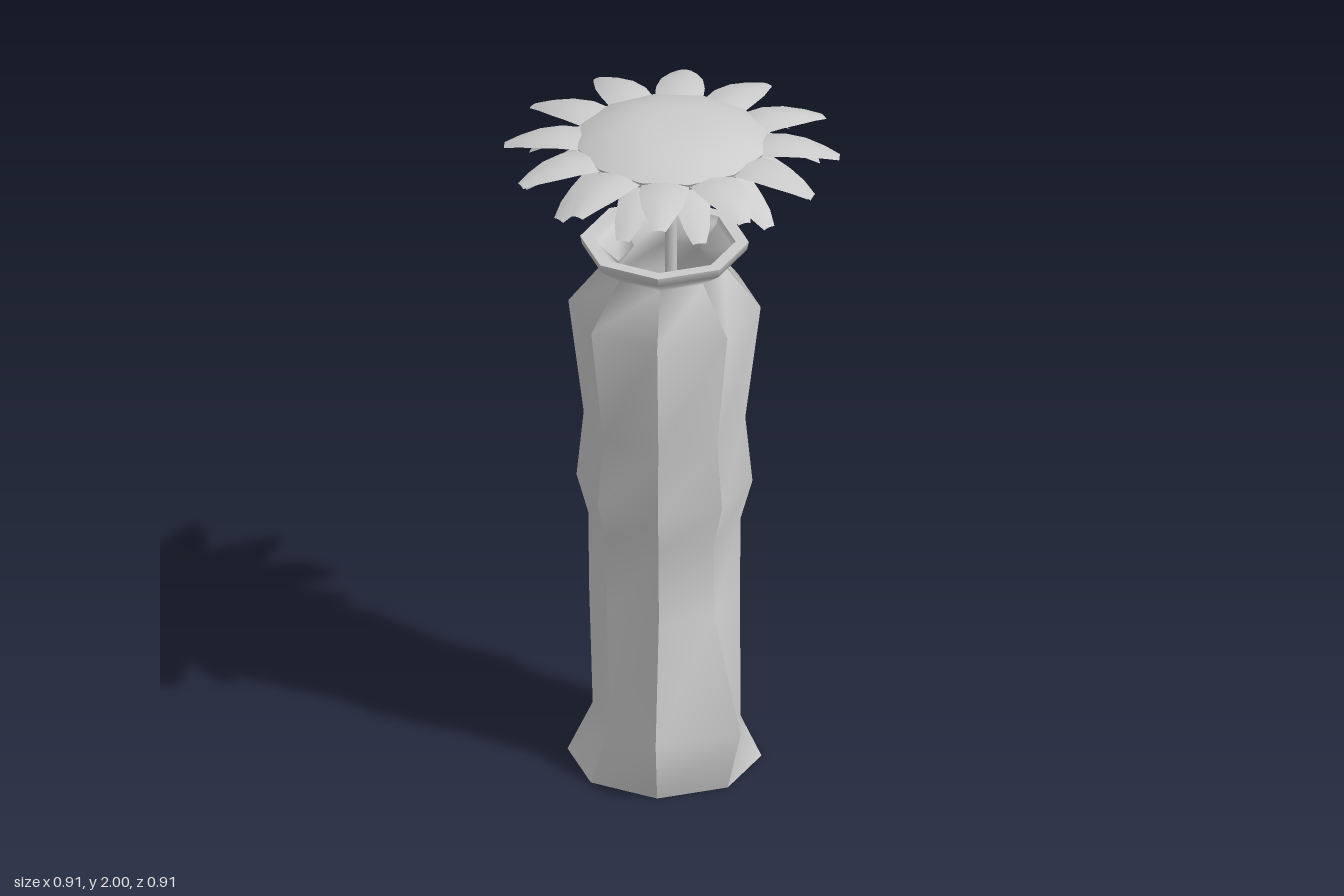
import * as THREE from 'three';

const grey = new THREE.MeshStandardMaterial({ color: 0xcccccc, side: THREE.DoubleSide });

function part(name, geometry) {
  const mesh = new THREE.Mesh(geometry, grey);
  mesh.name = name;
  return mesh;
}

// Indexed surface over a grid of points; faces look along (row direction) x (column direction)
function gridSurface(rows) {
  const cols = rows[0].length, index = [];
  for (let i = 0; i < rows.length - 1; i++) {
    for (let j = 0; j < cols - 1; j++) {
      const a = i * cols + j, b = a + cols;
      index.push(a, b, a + 1, a + 1, b, b + 1);
    }
  }
  const g = new THREE.BufferGeometry();
  g.setAttribute('position', new THREE.Float32BufferAttribute(rows.flat(2), 3));
  g.setIndex(index);
  g.computeVertexNormals();
  return g;
}

// Eight-sided vase shell: each facet is smooth up its length, sharp against its neighbours
const SIDES = 8;
function octagonShell(name, profile) {
  const group = new THREE.Group();
  group.name = name;
  const point = ([r, y, dent], k) => {
    // the facet at the front left bulges near the foot
    if (dent && k % SIDES < 2) [r, y] = dent;
    const a = (k / SIDES) * Math.PI * 2;
    return [r * Math.cos(a), y, r * Math.sin(a)];
  };
  for (let k = 0; k < SIDES; k++) {
    group.add(part(name + 'Facet', gridSurface(profile.map((p) => [point(p, k), point(p, k + 1)]))));
  }
  return group;
}

function createVase() {
  const vase = new THREE.Group();
  vase.name = 'vase';
  vase.add(
    octagonShell('vaseBase', [[0.001, 0], [0.27, 0]]),
    octagonShell('vaseBody', [
      [0.27, 0], [0.2, 0.15, [0.325, 0.19]], [0.21, 0.52], [0.212, 0.75], [0.245, 0.87],
      [0.225, 1.07], [0.268, 1.42], [0.165, 1.55], [0.23, 1.6], [0.235, 1.625],
    ]),
    octagonShell('vaseLip', [[0.235, 1.625], [0.198, 1.625]]),
    octagonShell('vaseInside', [
      [0.198, 1.625], [0.19, 1.605], [0.13, 1.55], [0.232, 1.41], [0.19, 1.07],
      [0.21, 0.87], [0.178, 0.75], [0.175, 0.52], [0.165, 0.1],
    ]),
    octagonShell('vaseFloor', [[0.165, 0.1], [0.001, 0.1]]),
  );
  vase.position.set(-0.018, 0, 0.012);
  return vase;
}

// Petal running outward along +z; stations are [radius, half width, height]
function petalGeometry(stations, crown) {
  const rows = stations.map(([r, w, y]) =>
    [-1, -0.5, 0, 0.5, 1].map((t) => [t * w, y + crown * (1 - t * t) * (w / 0.067), r]));
  return gridSurface(rows);
}

function petalRing(name, geometry, count, offset) {
  const ring = new THREE.Group();
  ring.name = name;
  for (let i = 0; i < count; i++) {
    const petal = part('petal', geometry);
    petal.rotation.y = ((i + offset) / count) * Math.PI * 2;
    ring.add(petal);
  }
  return ring;
}

function createFlower() {
  const flower = new THREE.Group();
  flower.name = 'flower';
  const lathe = (pts) => new THREE.LatheGeometry(pts.map((p) => new THREE.Vector2(...p)), 12);

  // domed seed head above, shallow bowl below
  flower.add(part('seedHead', lathe([
    [0.267, 1.943], [0.235, 1.96], [0.18, 1.982], [0.12, 1.995], [0.06, 1.999], [0, 2],
  ])));
  flower.add(part('flowerCup', lathe([
    [0, 1.83], [0.03, 1.825], [0.06, 1.808], [0.11, 1.803], [0.17, 1.825], [0.22, 1.86],
    [0.25, 1.9], [0.267, 1.943],
  ])));

  // wide upper petals between narrower drooping lower ones
  flower.add(petalRing('upperPetals', petalGeometry([
    [0.2, 0.048, 1.925], [0.25, 0.067, 1.934], [0.31, 0.068, 1.938],
    [0.37, 0.058, 1.932], [0.425, 0.037, 1.92], [0.467, 0.018, 1.906],
  ], 0.012), 12, 0.5));
  flower.add(petalRing('lowerPetals', petalGeometry([
    [0.22, 0.06, 1.92], [0.27, 0.058, 1.913], [0.33, 0.046, 1.89],
    [0.375, 0.037, 1.864], [0.415, 0.019, 1.835],
  ], 0.01), 12, 0));
  return flower;
}

export function createModel() {
  const model = new THREE.Group();
  model.name = 'flowerInVase';

  const stem = part('stem', new THREE.CylinderGeometry(0.017, 0.017, 1.74, 8));
  stem.position.set(0, 0.97, 0.004);

  model.add(createVase(), stem, createFlower());
  return model;
}
